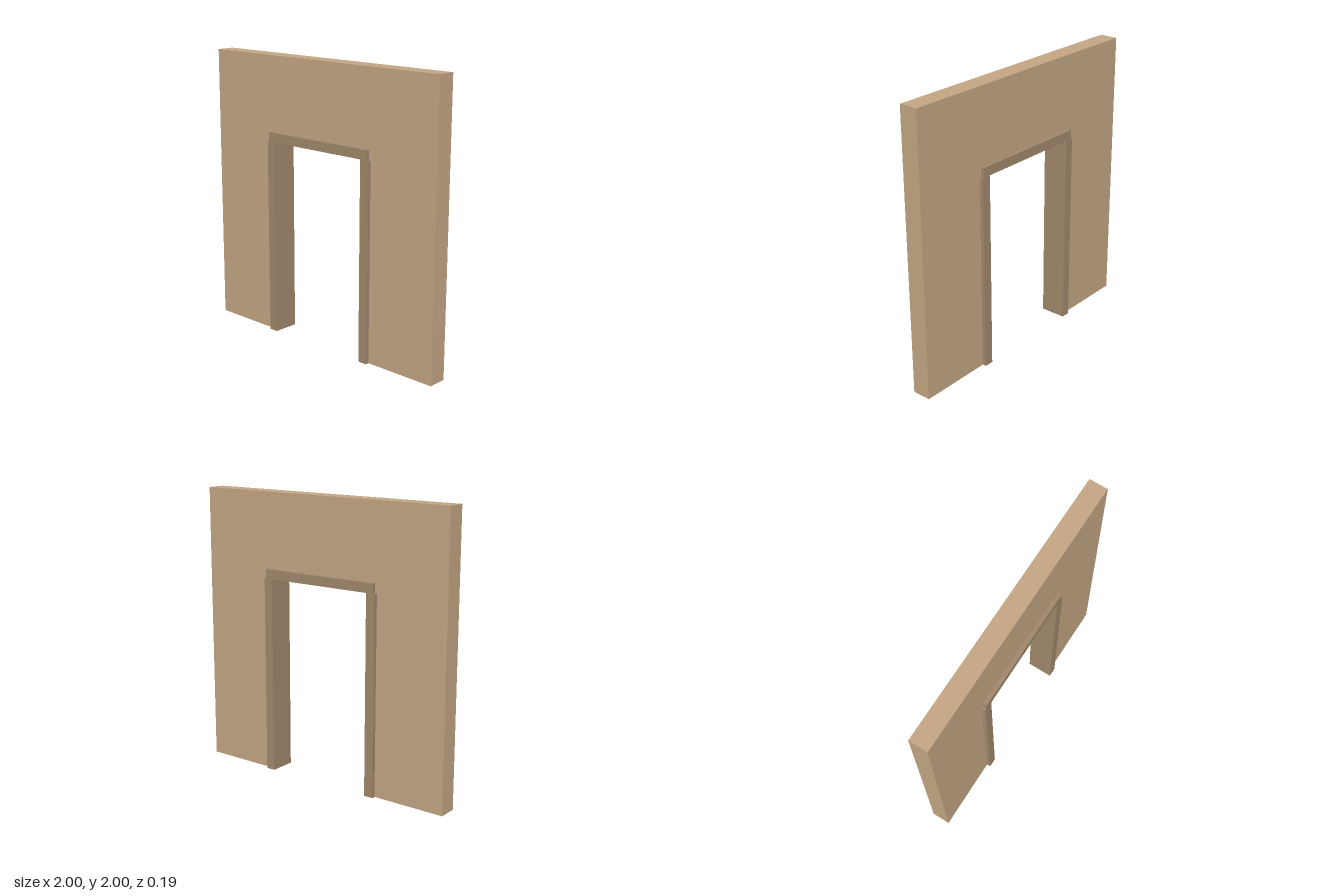
import * as THREE from 'three';

const WALL_DEPTH = 0.133;
const FRAME_DEPTH = 0.187;
const OPEN_X = 0.4;      // half width of the doorway
const OPEN_Y = 1.4;      // height of the doorway
const TRIM = 0.067;      // width of the trim
const LINTEL_X = 0.453;  // half length of the lintel

export function createModel() {
  const model = new THREE.Group();
  model.name = 'doorwayWall';

  const wallMaterial = new THREE.MeshStandardMaterial({ color: 0xc2a582 });
  const frameMaterial = new THREE.MeshStandardMaterial({ color: 0xa0876b });

  // Wall slab, cut out along the stepped outer edge of the frame
  const jambX = OPEN_X + TRIM;
  const lintelTop = OPEN_Y + TRIM;
  const half = [[1, 2], [1, 0], [jambX, 0], [jambX, OPEN_Y], [LINTEL_X, OPEN_Y], [LINTEL_X, lintelTop]];
  const mirrored = half.map(([x, y]) => [-x, y]).reverse();
  const outline = new THREE.Shape([...half, ...mirrored].map(([x, y]) => new THREE.Vector2(x, y)));
  const wallGeometry = new THREE.ExtrudeGeometry(outline, { depth: WALL_DEPTH, bevelEnabled: false });
  wallGeometry.translate(0, 0, -WALL_DEPTH / 2);
  const wall = new THREE.Mesh(wallGeometry, wallMaterial);
  wall.name = 'wall';
  model.add(wall);

  // Door frame, standing proud of both wall faces
  const frame = new THREE.Group();
  frame.name = 'doorFrame';
  const addBar = (name, width, height, x, y) => {
    const bar = new THREE.Mesh(new THREE.BoxGeometry(width, height, FRAME_DEPTH), frameMaterial);
    bar.name = name;
    bar.position.set(x, y, 0);
    frame.add(bar);
  };
  for (const side of [-1, 1]) {
    addBar(side > 0 ? 'leftJamb' : 'rightJamb', TRIM, OPEN_Y, side * (OPEN_X + TRIM / 2), OPEN_Y / 2);
  }
  addBar('lintel', LINTEL_X * 2, TRIM, 0, OPEN_Y + TRIM / 2);
  model.add(frame);

  return model;
}
